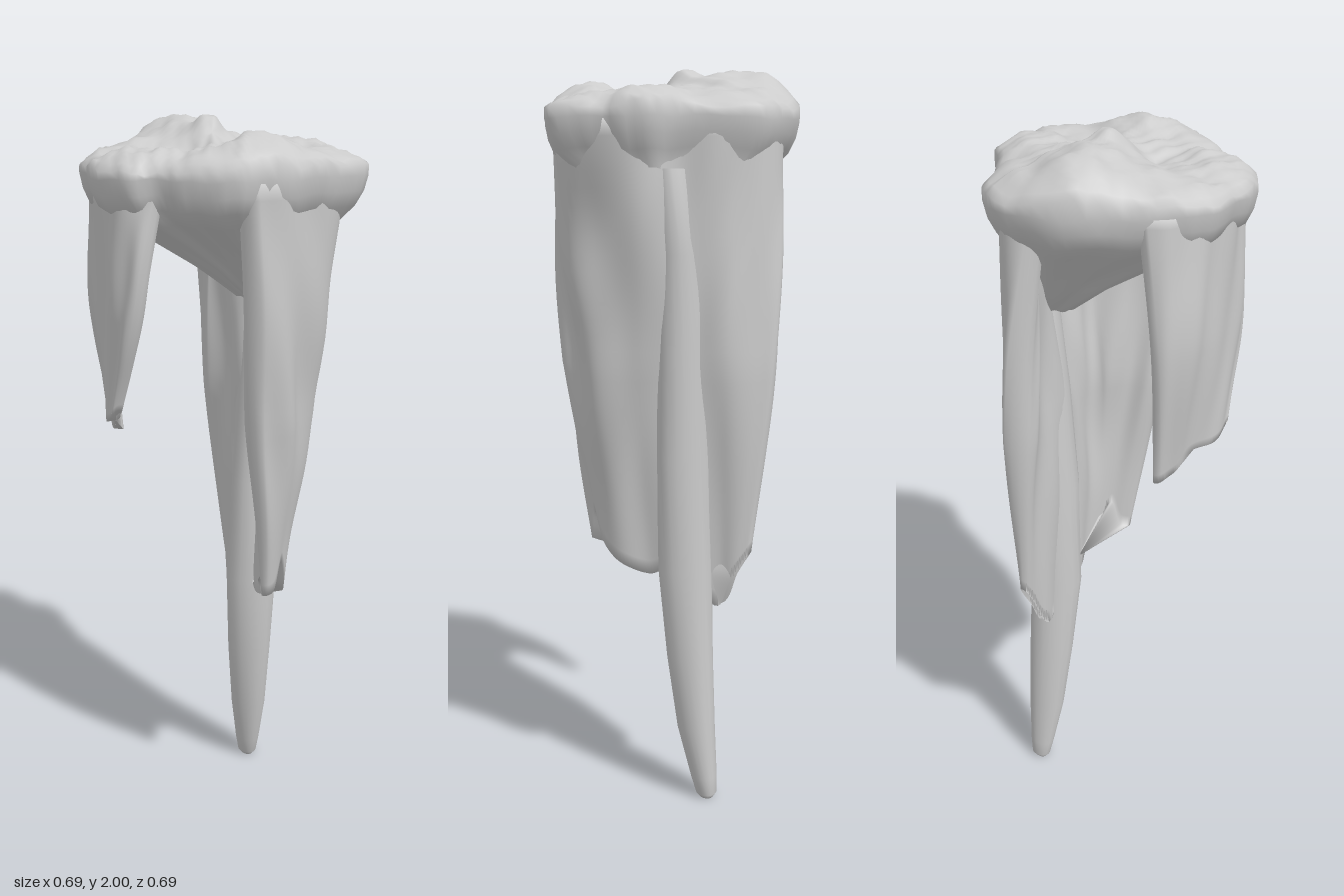
import * as THREE from 'three';

const material = new THREE.MeshStandardMaterial({ color: 0xcccccc, side: THREE.DoubleSide, roughness: 0.9 });
const V = (x, y, z) => new THREE.Vector3(x, y, z);

// smooth repeatable roughness, about -1..1
const rough = (x, y, z) =>
  (Math.sin(23 * x + 9 * y + 4 * z + 1) + Math.sin(31 * z - 7 * y + 13 * x) + Math.sin(47 * x - 41 * z + 11 * y + 2)) / 3;

// closed solid through a stack of rings with equal point counts
function loft(name, rings) {
  const n = rings[0].length, pos = [], idx = [];
  const centre = (r) => r.reduce((a, p) => a.add(p), V(0, 0, 0)).divideScalar(n);
  rings.forEach((r) => r.forEach((p) => pos.push(p.x, p.y, p.z)));
  for (let i = 0; i + 1 < rings.length; i++) {
    for (let j = 0; j < n; j++) {
      const a = i * n + j, b = i * n + (j + 1) % n;
      idx.push(a, b, a + n, b, b + n, a + n);
    }
  }
  // end caps
  for (const [r, flip] of [[0, true], [rings.length - 1, false]]) {
    const c = pos.length / 3, m = centre(rings[r]);
    pos.push(m.x, m.y, m.z);
    for (let j = 0; j < n; j++) {
      const a = r * n + j, b = r * n + (j + 1) % n;
      flip ? idx.push(b, a, c) : idx.push(a, b, c);
    }
  }
  // turn faces outward if the enclosed volume is negative
  const at = (i) => V(pos[3 * i], pos[3 * i + 1], pos[3 * i + 2]);
  let volume = 0;
  for (let i = 0; i < idx.length; i += 3) volume += at(idx[i]).dot(at(idx[i + 1]).cross(at(idx[i + 2])));
  if (volume < 0) idx.reverse();
  const g = new THREE.BufferGeometry();
  g.setAttribute('position', new THREE.Float32BufferAttribute(pos, 3));
  g.setIndex(idx);
  g.computeVertexNormals();
  const mesh = new THREE.Mesh(g, material);
  mesh.name = name;
  return mesh;
}

// hanging curtain: ribs are [topX, topZ, midX, midZ, bottomX, bottomY, bottomZ]
function curtain(name, ribs, topY, midY, thick, nu = 44, nv = 30) {
  const lines = ribs.map((r) => new THREE.CatmullRomCurve3([V(r[0], topY, r[1]), V(r[2], midY, r[3]), V(r[4], r[5], r[6])]));
  const rings = [];
  for (let i = 0; i <= nv; i++) {
    const v = i / nv;
    const path = new THREE.CatmullRomCurve3(lines.map((l) => l.getPoint(v)), false, 'centripetal');
    const half = v < 0.5
      ? THREE.MathUtils.lerp(thick[0], thick[1], v * 2)
      : THREE.MathUtils.lerp(thick[1], thick[2], v * 2 - 1);
    const outer = [], inner = [];
    for (let j = 0; j <= nu; j++) {
      const u = j / nu, p = path.getPoint(u), t = path.getTangent(u);
      const side = V(t.z, 0, -t.x).normalize();
      const w = half * (0.25 + 0.75 * Math.sqrt(1 - Math.pow(2 * u - 1, 12)));
      const ridge = 0.12 * Math.sin(u * 30 + v * 4) + 0.25 * rough(p.x, p.y, p.z);
      outer.push(p.clone().addScaledVector(side, w * (1 + ridge)));
      inner.unshift(p.clone().addScaledVector(side, -w * (1 - ridge)));
    }
    rings.push([...outer, ...inner]);
  }
  return loft(name, rings);
}

export function createModel() {
  const model = new THREE.Group();
  model.name = 'hangingRock';

  // lumpy top slab with a ragged rim, its underside tapering into the body
  const outline = new THREE.CatmullRomCurve3([
    [-0.347, -0.1], [-0.285, -0.27], [-0.2, -0.32], [0, -0.32], [0.1, -0.345], [0.2, -0.3], [0.33, -0.25],
    [0.335, -0.1], [0.335, 0.02], [0.3, 0.12], [0.27, 0.19], [0.18, 0.25], [0.09, 0.285], [0.03, 0.335],
    [-0.08, 0.345], [-0.17, 0.3], [-0.25, 0.25], [-0.3, 0.14], [-0.32, 0.04],
  ].map(([x, z]) => V(x, 0, z)), true, 'centripetal').getPoints(95).slice(0, 95)
    .map((p) => p.multiplyScalar(1 + 0.015 * rough(p.x * 3, 0, p.z * 3)));
  const bump = (x, z, cx, cz, r) => Math.exp(-((x - cx) ** 2 + (z - cz) ** 2) / (r * r));
  const height = (x, z, s) => 1.917 + 0.06 * bump(x, z, -0.15, -0.06, 0.13) + 0.04 * bump(x, z, -0.29, -0.09, 0.09)
    + 0.05 * bump(x, z, 0.21, 0.04, 0.1) + 0.05 * bump(x, z, -0.04, -0.02, 0.06) + 0.02 * bump(x, z, 0.08, -0.28, 0.12)
    - 0.03 * bump(x, z, -0.03, 0.09, 0.07) - 0.025 * bump(x, z, 0.1, -0.1, 0.08)
    - 0.045 * s ** 8 + 0.008 * rough(x, 0, z) + 0.009 * rough(2.3 * x, 1, 2.3 * z);
  const slab = [];
  for (let k = 1; k <= 20; k++) {
    const s = k / 20;
    slab.push(outline.map((p) => V(p.x * s, height(p.x * s, p.z * s, s), p.z * s)));
  }
  for (const [s, y, dz] of [[1, 1.85, 0], [0.975, 1.81, 0], [0.92, 1.77, 0], [0.8, 1.73, -0.02], [0.62, 1.67, -0.07],
    [0.4, 1.59, -0.13], [0.2, 1.5, -0.19]]) {
    slab.push(outline.map((p) => V(p.x * s, y + 0.008 * rough(p.x, y, p.z), p.z * s + dz)));
  }
  model.add(loft('topSlab', slab));

  // long curtain round the back, from the -x corner to the +x side
  model.add(curtain('backCurtain', [
    [-0.265, -0.17, -0.265, -0.25, -0.2, 0.7, -0.265],
    [-0.22, -0.23, -0.21, -0.25, -0.16, 0.63, -0.245],
    [-0.12, -0.25, -0.13, -0.23, -0.12, 0.54, -0.215],
    [0, -0.25, -0.04, -0.21, 0, 0.64, -0.18],
    [0.1, -0.26, 0.08, -0.185, 0.06, 0.62, -0.15],
    [0.19, -0.235, 0.165, -0.155, 0.13, 0.645, -0.135],
    [0.25, -0.16, 0.215, -0.105, 0.175, 0.69, -0.1],
    [0.27, -0.03, 0.235, -0.03, 0.195, 0.78, -0.06],
    [0.265, 0.07, 0.243, 0.03, 0.203, 0.7, -0.03],
    [0.26, 0.14, 0.243, 0.09, 0.203, 0.69, 0],
  ], 1.845, 1.2, [0.05, 0.047, 0.014], 64));

  // short curtain at the front -x corner
  model.add(curtain('frontCurtain', [
    [-0.28, 0.07, -0.3, 0.11, -0.26, 1.11, 0.115],
    [-0.255, 0.15, -0.275, 0.165, -0.22, 1.13, 0.16],
    [-0.19, 0.215, -0.21, 0.215, -0.19, 1.18, 0.2],
    [-0.1, 0.27, -0.11, 0.27, -0.14, 1.18, 0.25],
    [-0.01, 0.28, -0.02, 0.295, -0.085, 1.21, 0.28],
    [0.08, 0.25, 0.035, 0.295, -0.07, 1.23, 0.285],
  ], 1.85, 1.5, [0.035, 0.026, 0.013]));

  // long tapering spike, its root a ridge on the back: [x, y, z, radius]
  const spike = [
    [0.02, 1.72, -0.25, 0.05], [-0.005, 1.5, -0.23, 0.062], [-0.015, 1.25, -0.215, 0.07], [-0.02, 0.95, -0.2, 0.073],
    [-0.03, 0.64, -0.195, 0.072], [-0.045, 0.4, -0.21, 0.063], [-0.06, 0.2, -0.225, 0.052], [-0.078, 0.06, -0.24, 0.036],
    [-0.084, 0.012, -0.245, 0.028], [-0.085, 0, -0.245, 0.018],
  ];
  model.add(loft('spike', spike.map(([x, y, z, r]) => Array.from({ length: 20 }, (_, i) => {
    const a = i / 20 * Math.PI * 2, q = r * (1 + 0.07 * Math.sin(3 * a + y * 4));
    return V(x + q * Math.cos(a), y, z + q * Math.sin(a));
  }))));

  return model;
}
